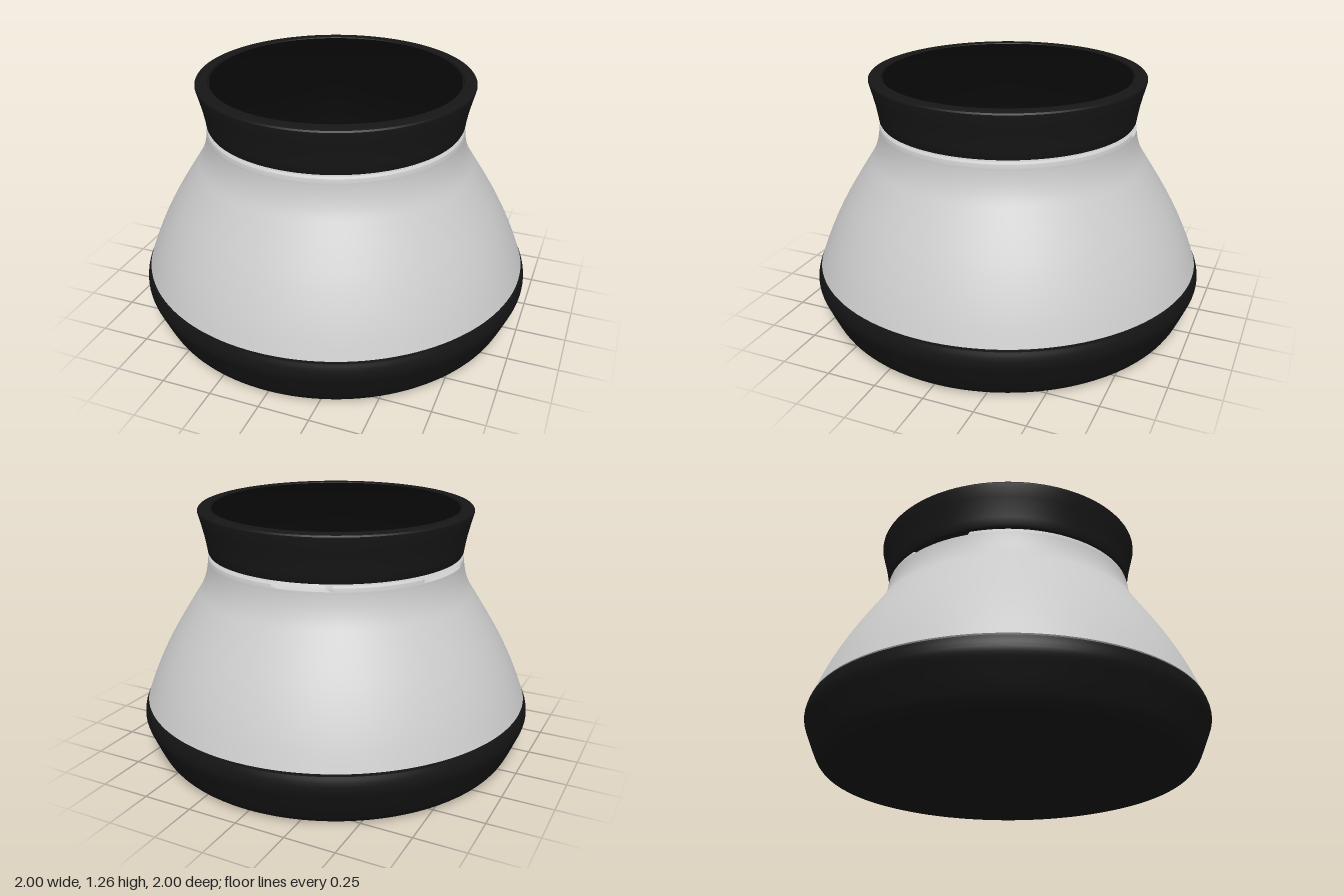
import * as THREE from 'three';
import { toCreasedNormals } from 'three/addons/utils/BufferGeometryUtils.js';

const SEGMENTS = 128;
const points = (list) => list.map(([r, y]) => new THREE.Vector2(r, y));
const smooth = (list, n) => new THREE.SplineCurve(points(list)).getPoints(n);

// Turned part from a profile running from its bottom centre to its top centre
function turned(name, profile, color, reshape) {
  const geometry = new THREE.LatheGeometry(profile, SEGMENTS);
  if (reshape) reshape(geometry.attributes.position);
  const mesh = new THREE.Mesh(
    toCreasedNormals(geometry, 0.6),
    new THREE.MeshStandardMaterial({ color })
  );
  mesh.name = name;
  return mesh;
}

// Shallow steps cut into the neck rim, as angle ranges in degrees
const NOTCHES = [[-178, -156], [-114, -86]];
function cutNotches(position) {
  for (let i = 0; i < position.count; i++) {
    const x = position.getX(i), y = position.getY(i), z = position.getZ(i);
    const angle = THREE.MathUtils.radToDeg(Math.atan2(x, z));
    if (y < 1.003 || !NOTCHES.some(([a, b]) => angle > a && angle < b)) continue;
    const r = Math.hypot(x, z);
    const scale = r > 0.62 ? 0.62 / r : 1;
    position.setXYZ(i, x * scale, y > 1.015 && r > 0.61 ? 1.005 : y, z * scale);
  }
}

export function createModel() {
  const group = new THREE.Group();
  group.name = 'jar';

  // Dark base cup with a rounded foot
  group.add(turned('base', [
    ...points([[0, 0]]),
    ...smooth([[0.86, 0], [0.895, 0.01], [0.925, 0.04], [0.95, 0.09], [0.975, 0.15],
      [0.995, 0.2], [0.999, 0.23], [0.994, 0.26], [0.985, 0.285]], 28),
    ...points([[0, 0.285]]),
  ], 0x141414));

  // Flared body narrowing to a short neck
  group.add(turned('body', [
    ...points([[0, 0.295]]),
    ...smooth([[0.98, 0.295], [0.94, 0.4], [0.895, 0.5], [0.84, 0.605], [0.78, 0.705],
      [0.72, 0.8], [0.68, 0.865], [0.658, 0.92], [0.647, 0.97], [0.644, 1.0]], 36),
    ...points([[0.643, 1.005], [0.64, 1.016], [0.63, 1.024], [0.6, 1.024], [0, 1.024]]),
  ], 0xcccccc, cutNotches));

  // Dark flared lid with a softened edge and a shallow seat on top
  group.add(turned('lid', points([
    [0, 1.03], [0.625, 1.03], [0.635, 1.034], [0.641, 1.045], [0.646, 1.08], [0.655, 1.13],
    [0.668, 1.185], [0.684, 1.245], [0.684, 1.253], [0.679, 1.26], [0.67, 1.263],
    [0.623, 1.263], [0.62, 1.255], [0, 1.255],
  ]), 0x161616));

  // Black inlaid disc, set nearly flush inside the lid rim
  group.add(turned('lidInlay', points([
    [0, 1.255], [0.615, 1.255], [0.615, 1.259], [0.61, 1.262], [0, 1.262],
  ]), 0x060606));

  return group;
}
